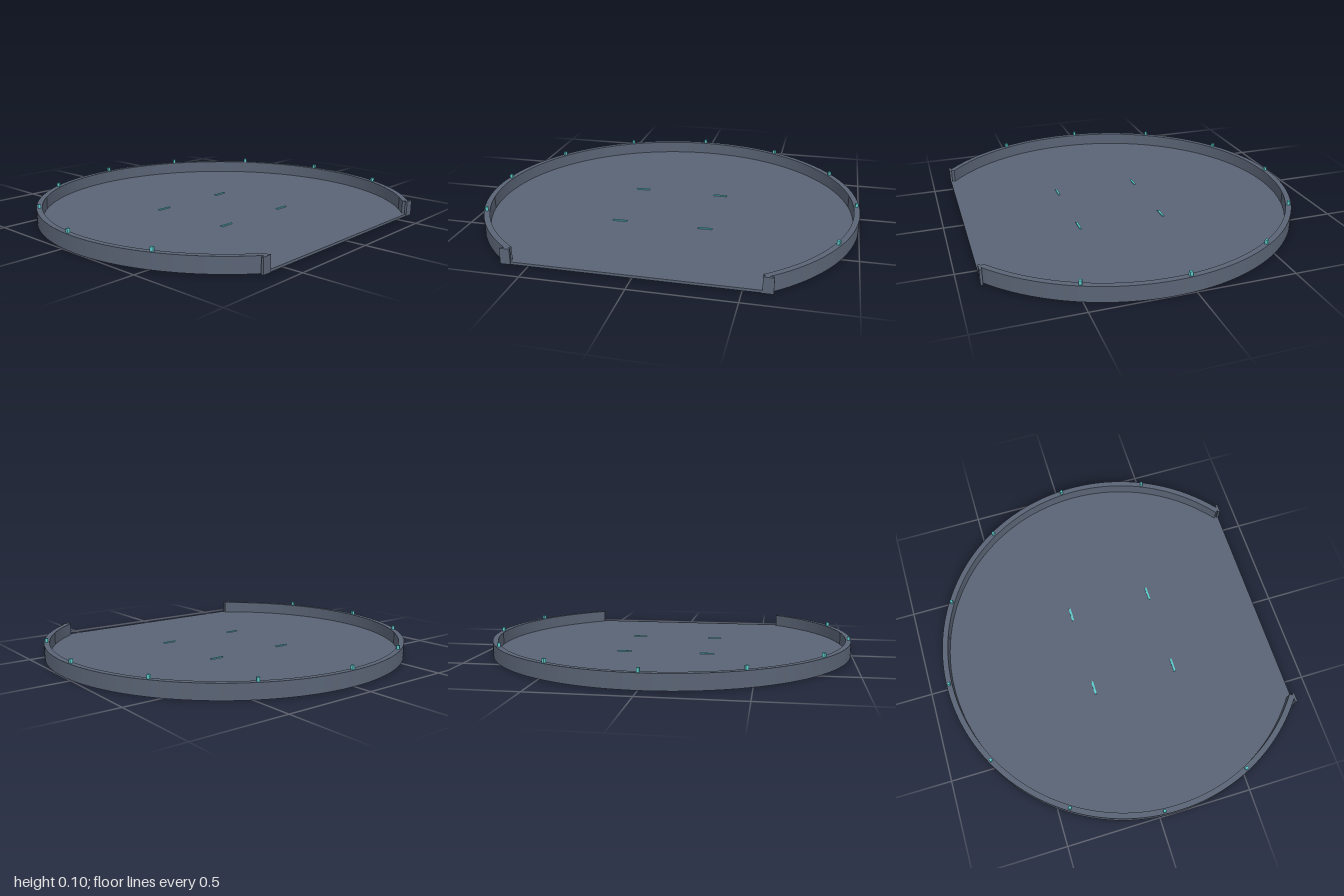
import * as THREE from 'three';

export function createModel() {
  const model = new THREE.Group();
  const slate = new THREE.MeshStandardMaterial({ color: 0x5a6475 });
  slate.name = 'slate';
  const teal = new THREE.MeshStandardMaterial({ color: 0x5ccacc });
  teal.name = 'teal light';

  const CZ = 0.1;      // centre of the round platform
  const GAP = 0.65;    // half angle of the front opening
  const FLOOR = 0.013, TOP = 0.08;

  const add = (name, geometry, material, x = 0, y = 0, z = 0, turn = 0) => {
    const mesh = new THREE.Mesh(geometry, material);
    mesh.name = name;
    mesh.position.set(x, y, z);
    mesh.rotation.y = turn;
    model.add(mesh);
    return mesh;
  };

  // Extrude a plan shape upward
  const slab = (shape, height) =>
    new THREE.ExtrudeGeometry(shape, { depth: height, bevelEnabled: false, curveSegments: 112 })
      .rotateX(-Math.PI / 2);

  // Round floor with a straight front edge
  const start = -Math.PI / 2 + GAP, end = 1.5 * Math.PI - GAP;
  const floor = new THREE.Shape();
  floor.absarc(0, 0, 1, start, end, false);
  floor.closePath();
  add('floor', slab(floor, FLOOR), slate, 0, 0, CZ);

  // Low rim wall, open at the front
  const rim = new THREE.Shape();
  rim.absarc(0, 0, 1, start, end, false);
  rim.absarc(0, 0, 0.97, end, start, true);
  rim.closePath();
  add('rimWall', slab(rim, TOP - FLOOR), slate, 0, FLOOR, CZ);

  // Posts closing the ends of the rim
  for (const s of [-1, 1]) {
    add('entrancePost', new THREE.BoxGeometry(0.05, TOP, 0.012), slate, s * 0.613, TOP / 2, 0.893);
  }

  // Small lights evenly spaced along the rim
  const step = (Math.PI - GAP) / 5;
  for (let i = -4; i <= 4; i++) {
    const a = i * step;
    add('rimLight', new THREE.BoxGeometry(0.015, 0.022, 0.015), teal,
      0.985 * Math.sin(a), TOP + 0.01, CZ - 0.985 * Math.cos(a), -a);
  }

  // Four floor markers
  for (const x of [-0.228, 0.228]) for (const z of [-0.23, 0.23]) {
    add('floorMarker', new THREE.BoxGeometry(0.075, 0.006, 0.011), teal, x, FLOOR + 0.002, CZ + z);
  }

  return model;
}
